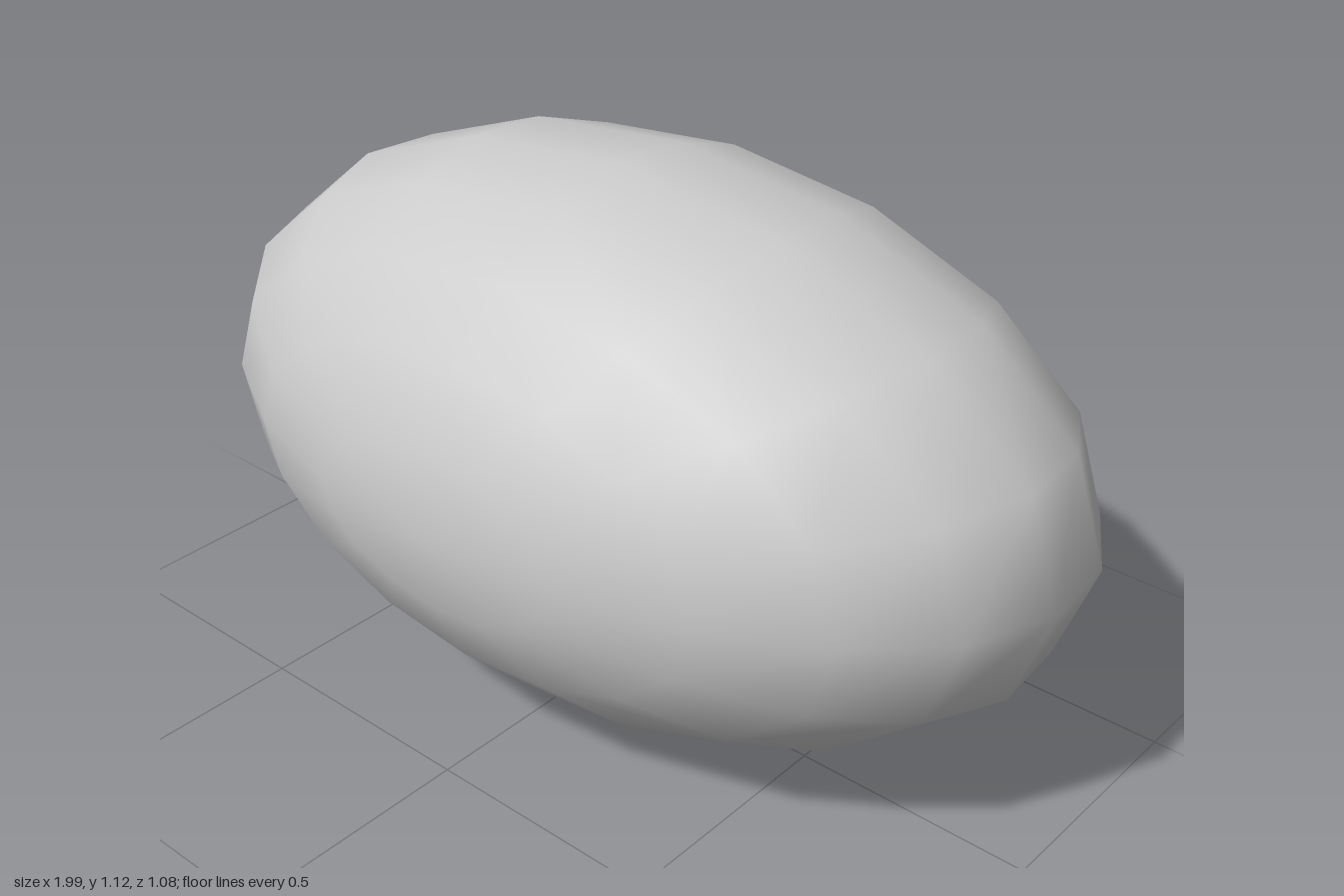
import * as THREE from 'three';

const SIDES = 16;
const MID_Y = 0.5625, MID_Z = -0.068;      // centre of the shell
const RX = 1, RY = 0.5625, RZ = 0.61;      // shell radii
const KNOB_R = 0.389, FACE_R = 0.212;      // knob base and face radii
const BACK_Z = -0.5425, KNOB_Z = -0.425;   // knob face and base depths

// Ring-shaped surface facing backwards, from an oval rim to a round inner edge
function recessGeometry(rimX, rimY, rimZ, innerR, innerZ) {
  const pos = [], index = [];
  for (let i = 0; i < SIDES; i++) {
    const a = (i / SIDES) * Math.PI * 2, c = Math.cos(a), s = Math.sin(a);
    pos.push(rimX * c, rimY * s, rimZ, innerR * c, innerR * s, innerZ);
    const o = 2 * i, n = 2 * ((i + 1) % SIDES);
    index.push(o, o + 1, n, n, o + 1, n + 1);
  }
  const g = new THREE.BufferGeometry();
  g.setAttribute('position', new THREE.Float32BufferAttribute(pos, 3));
  g.setIndex(index);
  g.computeVertexNormals();
  return g;
}

export function createModel() {
  const model = new THREE.Group();
  const material = new THREE.MeshStandardMaterial({ color: 0xcccccc, side: THREE.DoubleSide });
  const add = (name, geometry) => {
    const mesh = new THREE.Mesh(geometry, material);
    mesh.name = name;
    mesh.position.y = MID_Y;
    model.add(mesh);
  };

  // Oval shell, pole to the front, open at the back
  const shell = new THREE.SphereGeometry(1, SIDES, 8, 0, Math.PI * 2, 0, Math.PI * 0.75);
  shell.rotateX(Math.PI / 2).scale(RX, RY, RZ).translate(0, 0, MID_Z);
  add('shell', shell);

  // Dished recess from the rim of the shell in to the knob
  const k = Math.SQRT1_2;
  add('recess', recessGeometry(RX * k, RY * k, MID_Z - RZ * k, KNOB_R, KNOB_Z));

  // Tapered knob with a flat face
  const depth = KNOB_Z - BACK_Z;
  const side = new THREE.CylinderGeometry(FACE_R, KNOB_R, depth, SIDES, 1, true);
  side.rotateX(-Math.PI / 2).translate(0, 0, KNOB_Z - depth / 2);
  add('knobSide', side);

  const face = new THREE.CircleGeometry(FACE_R, SIDES);
  face.rotateY(Math.PI).translate(0, 0, BACK_Z);
  add('knobFace', face);

  return model;
}
